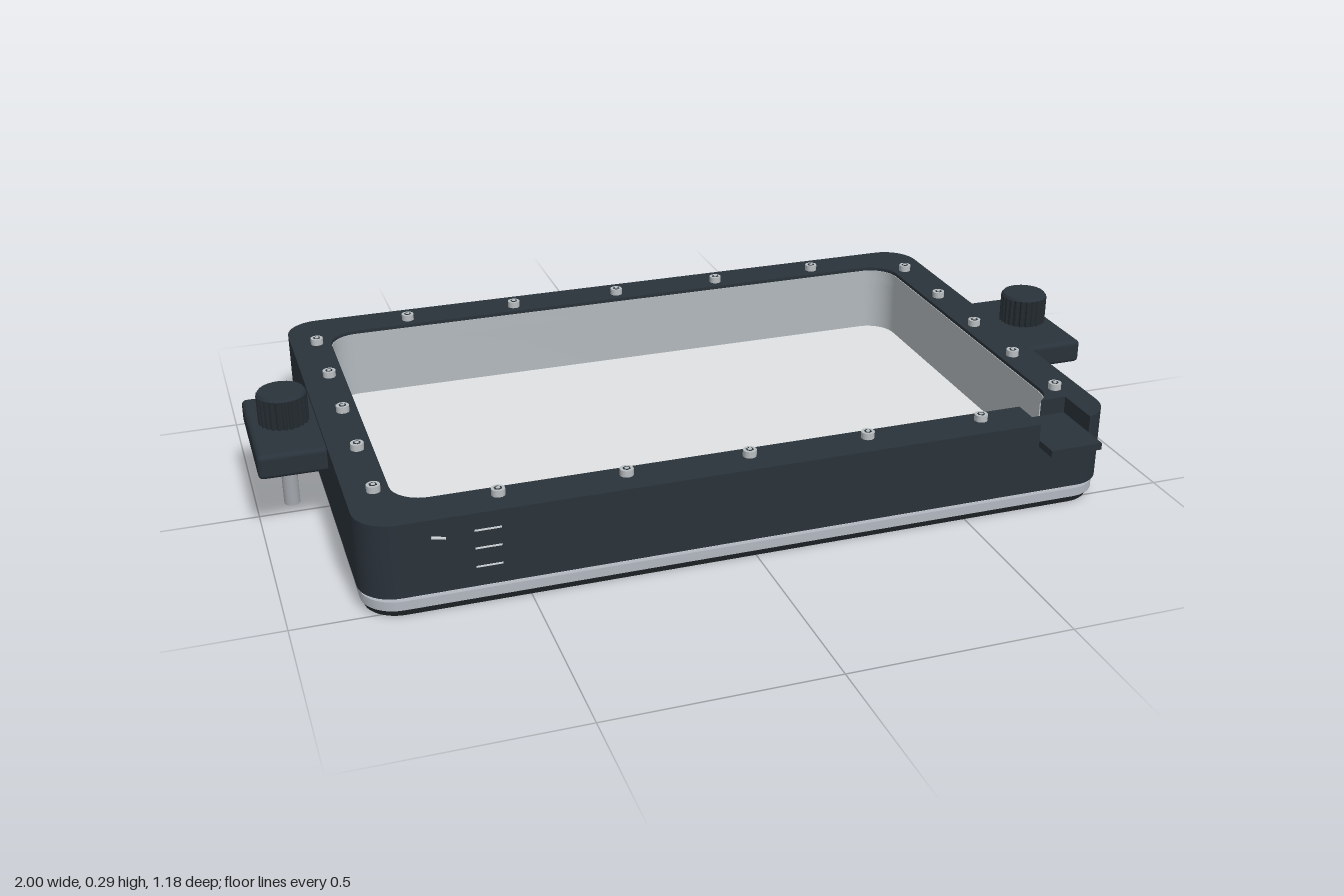
import * as THREE from 'three';
import { toCreasedNormals } from 'three/addons/utils/BufferGeometryUtils.js';
import { RoundedBoxGeometry } from 'three/addons/geometries/RoundedBoxGeometry.js';

const CZ = -0.028; // centre of the tray along z
const SLOT = { x0: 0.665, x1: 0.79, z0: 0.42, floor: 0.177 };

const mat = (name, color) => {
  const m = new THREE.MeshStandardMaterial({ color });
  m.name = name;
  return m;
};

// Rounded rectangle in plan (shape y = model z), front right corner first
function outline(hx, hz, r) {
  const pts = [];
  const corners = [[1, 1, 1], [1, -1, 0], [-1, -1, -1], [-1, 1, -2]];
  for (const [sx, sz, q] of corners) {
    for (let i = 0; i <= 10; i++) {
      const a = (q - i / 10) * Math.PI / 2;
      pts.push(new THREE.Vector2(sx * (hx - r) + r * Math.cos(a), CZ + sz * (hz - r) + r * Math.sin(a)));
    }
  }
  return pts;
}

// Same outline cut open at the pouring slot
function openOutline(hx, hz, r, start) {
  const kept = outline(hx, hz, r).filter(p => !(p.x < SLOT.x1 && p.x > SLOT.x0 && p.y > SLOT.z0));
  return [...start.map(p => new THREE.Vector2(...p)), ...kept, new THREE.Vector2(SLOT.x0, CZ + hz)];
}

// Extrudes a plan shape between two heights
function slab(shape, y0, y1) {
  const g = new THREE.ExtrudeGeometry(shape, { depth: y1 - y0, bevelEnabled: false, curveSegments: 8 });
  g.rotateX(Math.PI / 2).translate(0, y1, 0);
  return toCreasedNormals(g, 0.6);
}

// Closed ring or plate; the hole runs opposite to the outer edge
function ring(outer, inner, y0, y1) {
  const s = new THREE.Shape(outline(...outer));
  if (inner) s.holes.push(new THREE.Path(outline(...inner).reverse()));
  return slab(s, y0, y1);
}

function openRing(outer, outerStart, inner, innerStart, y0, y1) {
  const pts = [...openOutline(...outer, outerStart), ...openOutline(...inner, innerStart).reverse()];
  return slab(new THREE.Shape(pts), y0, y1);
}

export function createModel() {
  const model = new THREE.Group();
  model.name = 'clampedTray';
  const charcoal = mat('charcoal', 0x29323a);
  const black = mat('black rubber', 0x1b2023);
  const knobDark = mat('knob dark', 0x232b30);
  const steel = mat('steel', 0xa2a6ac);
  const screwSteel = mat('screw steel', 0xb8bdc0);
  const rimGrey = mat('rim grey', 0xb2b7c0);
  const sheetGrey = mat('sheet grey', 0xe0e1e2);
  const liningGrey = mat('lining grey', 0xb2b9bd);
  const white = mat('mark white', 0xd8dcde);

  const add = (name, geo, material, x = 0, y = 0, z = 0, parent = model) => {
    const m = new THREE.Mesh(geo, material);
    m.name = name;
    m.position.set(x, y, z);
    parent.add(m);
    return m;
  };

  // Frame: closed lower wall and notched upper wall
  const out = [0.851, 0.56, 0.08], inn = [0.757, 0.461, 0.07], lin = [0.755, 0.459, 0.068];
  add('frameLower', ring(out, inn, 0.049, SLOT.floor), charcoal);
  add('frameUpper', openRing(out, [[SLOT.x1, 0.53]], inn, [[SLOT.x1, SLOT.z0], [0.728, SLOT.z0]], SLOT.floor, 0.217), charcoal);

  // Thin inner lining
  add('liningLower', ring(inn, lin, 0.047, SLOT.floor), liningGrey);
  add('liningUpper', openRing(inn, [[0.728, SLOT.z0]], lin, [[0.725, SLOT.z0]], SLOT.floor, 0.209), liningGrey);

  // Bottom sandwich: sheet, rim and gasket
  add('sheet', ring([0.835, 0.545, 0.07], null, 0.034, 0.041), sheetGrey);
  add('rim', ring([0.846, 0.556, 0.078], [0.712, 0.43, 0.03], 0.018, 0.039), rimGrey);
  add('spacer', ring([0.825, 0.535, 0.07], [0.714, 0.432, 0.03], 0.011, 0.019), rimGrey);
  add('gasket', ring([0.838, 0.545, 0.075], [0.716, 0.434, 0.03], 0, 0.012), black);

  // Pouring spout
  add('spout', new THREE.BoxGeometry(SLOT.x1 - SLOT.x0, 0.016, 0.168), charcoal,
    (SLOT.x0 + SLOT.x1) / 2, 0.17, 0.504);

  // Screws around the frame
  const headGeo = toCreasedNormals(new THREE.CylinderGeometry(0.015, 0.015, 0.015, 16), 0.6);
  const socketGeo = new THREE.CylinderGeometry(0.009, 0.009, 0.002, 6);
  const pinGeo = new THREE.CylinderGeometry(0.005, 0.005, 0.002, 8);
  const shankGeo = new THREE.CylinderGeometry(0.008, 0.008, 0.012, 10);
  const spots = [];
  for (const x of [-0.55, -0.275, 0, 0.275, 0.55]) spots.push([x, -0.523], [x, 0.467]);
  for (const z of [-0.439, -0.235, -0.033, 0.167, 0.37]) spots.push([-0.79, z], [0.79, z]);
  for (const [x, z] of spots) {
    const screw = new THREE.Group();
    screw.name = 'screw';
    screw.position.set(x, 0, z);
    model.add(screw);
    add('screwHead', headGeo, screwSteel, 0, 0.2245, 0, screw);
    add('screwSocket', socketGeo, charcoal, 0, 0.2315, 0, screw);
    add('screwPin', pinGeo, screwSteel, 0, 0.2322, 0, screw);
    add('screwShank', shankGeo, charcoal, 0, 0.045, 0, screw);
  }

  // Fluted knob profile
  const flutes = [];
  for (let i = 0; i < 96; i++) {
    const a = i / 96 * Math.PI * 2;
    const r = i % 4 < 2 ? 0.056 : 0.052;
    flutes.push(new THREE.Vector2(r * Math.cos(a), r * Math.sin(a)));
  }
  const knobGeo = slab(new THREE.Shape(flutes), 0.217, 0.284);

  // Side clamps: tab, rod, collar and knob
  for (const s of [-1, 1]) {
    const clamp = new THREE.Group();
    clamp.name = s > 0 ? 'leftClamp' : 'rightClamp';
    clamp.position.set(s * 0.922, 0, CZ);
    model.add(clamp);
    add('tab', new RoundedBoxGeometry(0.158, 0.057, 0.315, 4, 0.011), charcoal, -s * 0.001, 0.182, 0, clamp);
    add('rod', new THREE.CylinderGeometry(0.018, 0.018, 0.2, 20), steel, 0, 0.11, 0, clamp);
    add('collar', new THREE.CylinderGeometry(0.026, 0.026, 0.014, 20), knobDark, 0, 0.213, 0, clamp);
    add('knob', knobGeo, knobDark, 0, 0, 0, clamp);
    add('knobCap', new THREE.CylinderGeometry(0.051, 0.055, 0.006, 32), charcoal, 0, 0.287, 0, clamp);
  }

  // Level marks on the front wall
  for (const y of [0.178, 0.137, 0.094]) {
    add('levelMark', new THREE.BoxGeometry(0.056, 0.004, 0.004), white, -0.588, y, 0.531);
  }
  add('smallMark', new THREE.BoxGeometry(0.03, 0.005, 0.006), white, -0.69, 0.175, 0.532).rotation.z = -0.2;

  return model;
}
